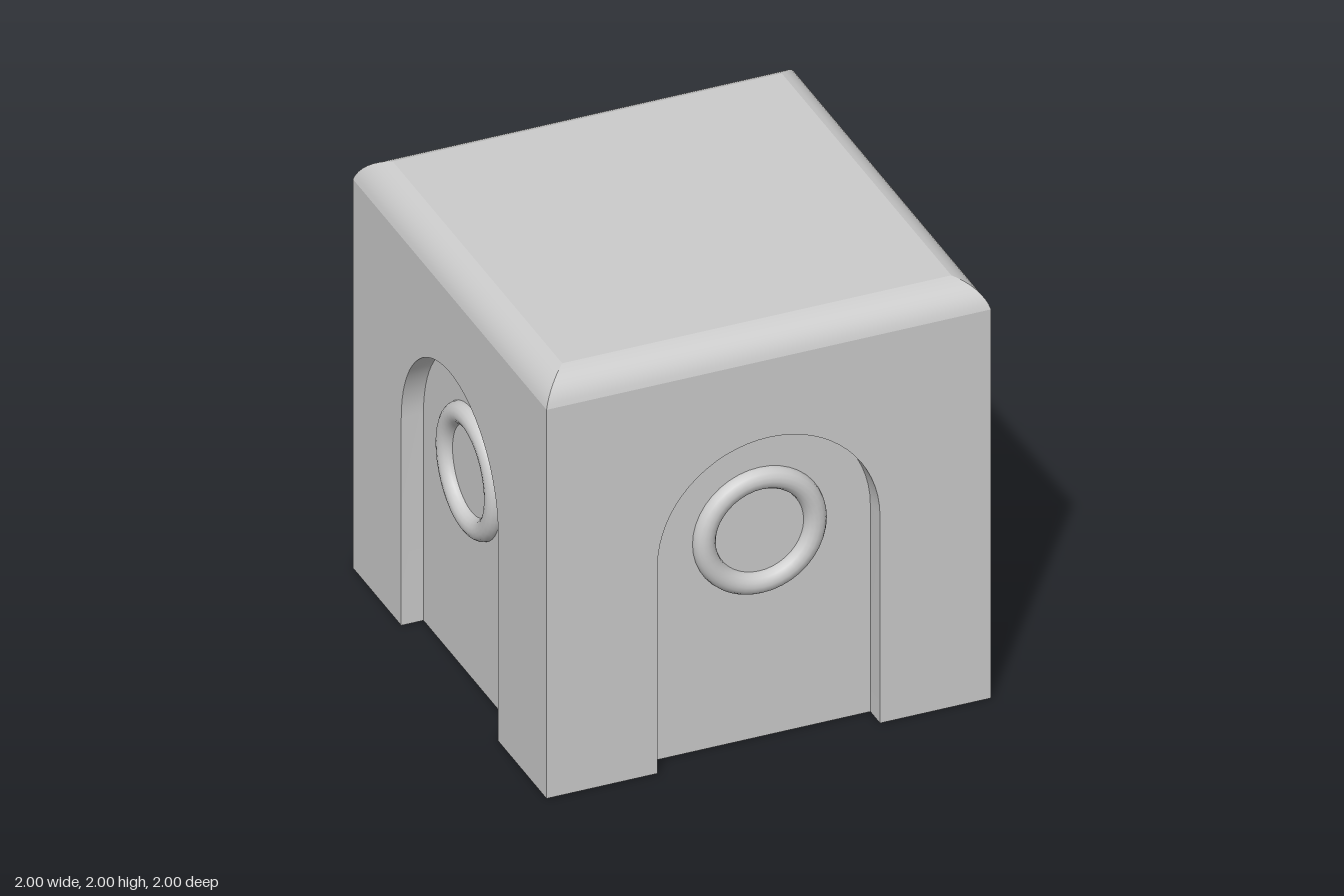
import * as THREE from 'three';
import { toCreasedNormals } from 'three/addons/utils/BufferGeometryUtils.js';

const DEPTH = 0.1;     // how far each niche is sunk
const HALF = 0.5;      // half width of a niche, and radius of its arch
const SPRING = 1;      // height where the arch starts
const BEVEL = 0.125;   // size of the rounded top edge

const material = new THREE.MeshStandardMaterial({ color: 0xcccccc });

function mesh(name, geometry) {
  const m = new THREE.Mesh(geometry, material);
  m.name = name;
  return m;
}

// Surface through rows of points
function loft(rows) {
  const n = rows[0].length;
  const index = [];
  for (let i = 0; i < rows.length - 1; i++) {
    for (let j = 0; j < n - 1; j++) {
      const a = i * n + j, c = a + n;
      index.push(a, a + 1, c, a + 1, c + 1, c);
    }
  }
  const g = new THREE.BufferGeometry();
  g.setAttribute('position', new THREE.Float32BufferAttribute(rows.flat(2), 3));
  g.setIndex(index);
  return toCreasedNormals(g, 0.2);
}

// Niche outline: up the left side, over the arch, down the right side
function archPoints() {
  const pts = [new THREE.Vector2(-HALF, 0)];
  for (let i = 0; i <= 32; i++) {
    const a = Math.PI * (1 - i / 32);
    pts.push(new THREE.Vector2(HALF * Math.cos(a), SPRING + HALF * Math.sin(a)));
  }
  pts.push(new THREE.Vector2(HALF, 0));
  return pts;
}

// Shallow arc of the top edge, as [distance from centre, height]
function bevelProfile() {
  const r = BEVEL * Math.SQRT2;
  const pts = [];
  for (let i = 0; i <= 8; i++) {
    const a = THREE.MathUtils.degToRad(15 + 60 * i / 8);
    pts.push([
      1 - r * Math.cos(Math.PI / 12) + r * Math.cos(a),
      2 - r * Math.cos(Math.PI / 12) + r * Math.sin(a),
    ]);
  }
  return pts;
}

// One side of the block, facing +z
function createSide() {
  const side = new THREE.Group();
  const arch = archPoints();

  const wall = new THREE.Shape([
    new THREE.Vector2(-1, 0), ...arch, new THREE.Vector2(1, 0),
    new THREE.Vector2(1, 2 - BEVEL), new THREE.Vector2(-1, 2 - BEVEL),
  ]);
  side.add(mesh('wall', new THREE.ShapeGeometry(wall).translate(0, 0, 1)));

  side.add(mesh('nicheBack',
    new THREE.ShapeGeometry(new THREE.Shape(arch)).translate(0, 0, 1 - DEPTH)));

  side.add(mesh('nicheReveal',
    loft([1 - DEPTH, 1].map(z => arch.map(p => [p.x, p.y, z])))));

  side.add(mesh('roundedTopEdge',
    loft(bevelProfile().map(([d, y]) => [[-d, y, d], [d, y, d]]))));

  // Ring half sunk into the back of the niche
  const ring = mesh('ring', new THREE.TorusGeometry(0.25, 0.05, 16, 40));
  ring.position.set(0, 1, 1 - DEPTH);
  side.add(ring);
  return side;
}

export function createModel() {
  const model = new THREE.Group();
  model.name = 'nichedBlock';

  ['front', 'left', 'back', 'right'].forEach((name, i) => {
    const side = createSide();
    side.name = name + 'Side';
    side.rotation.y = i * Math.PI / 2;
    model.add(side);
  });

  // Flat top between the rounded edges
  const top = mesh('top', new THREE.PlaneGeometry(2 - 2 * BEVEL, 2 - 2 * BEVEL).rotateX(-Math.PI / 2));
  top.position.y = 2;
  model.add(top);

  // Underside, notched where the niches reach the ground
  const outline = [];
  for (let i = 0; i < 4; i++) {
    for (const [x, y] of [[-1, -1], [-HALF, -1], [-HALF, DEPTH - 1], [HALF, DEPTH - 1], [HALF, -1]]) {
      outline.push(new THREE.Vector2(x, y).rotateAround(new THREE.Vector2(), i * Math.PI / 2));
    }
  }
  model.add(mesh('underside',
    new THREE.ShapeGeometry(new THREE.Shape(outline)).rotateX(Math.PI / 2)));

  return model;
}
